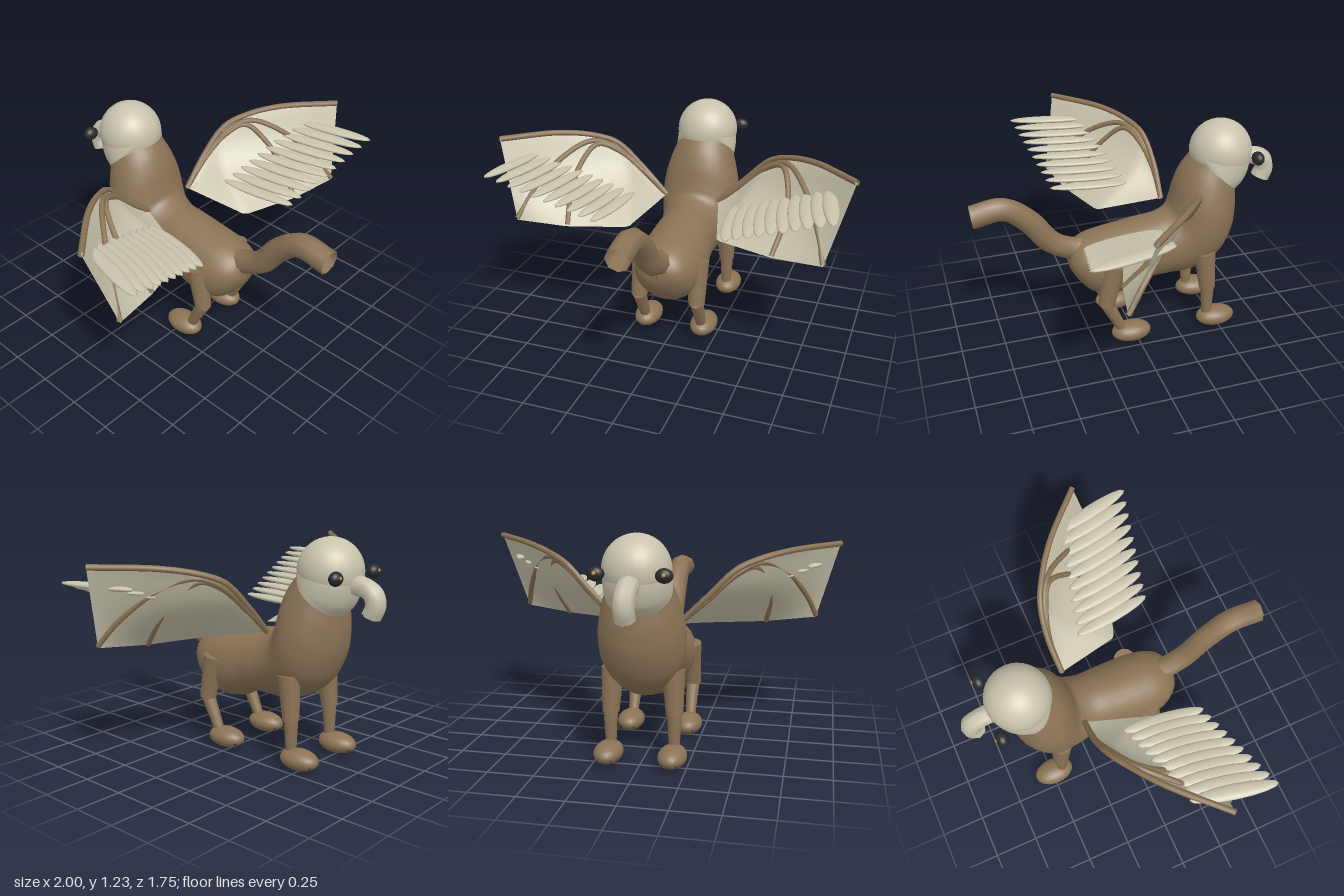
import * as THREE from 'three';

const mat = (color, side = THREE.FrontSide) => new THREE.MeshStandardMaterial({ color, side });
const BROWN = mat(0x8b7355), BROWN_OPEN = mat(0x8b7355, THREE.DoubleSide);
const CREAM = mat(0xc8c3ac), CREAM_OPEN = mat(0xc8c3ac, THREE.DoubleSide);
const DARK = mat(0x2a2a2a), GOLD = mat(0xc89020);
const V = (x, y, z) => new THREE.Vector3(x, y, z);

function add(parent, name, geometry, material) {
  const mesh = new THREE.Mesh(geometry, material);
  mesh.name = name;
  parent.add(mesh);
  return mesh;
}

function ellipsoid(parent, name, pos, radii, material, w = 24, h = 16) {
  const mesh = add(parent, name, new THREE.SphereGeometry(1, w, h), material);
  mesh.position.copy(pos);
  mesh.scale.set(...radii);
  return mesh;
}

// Tapered cylinder from point a to point b
function limb(parent, name, a, b, ra, rb, material, segments = 16) {
  const d = b.clone().sub(a);
  const mesh = add(parent, name, new THREE.CylinderGeometry(rb, ra, d.length(), segments), material);
  mesh.position.copy(a).add(b).multiplyScalar(0.5);
  mesh.quaternion.setFromUnitVectors(V(0, 1, 0), d.normalize());
}

function tube(parent, name, points, radius, material, segments = 32) {
  const curve = new THREE.CatmullRomCurve3(points);
  add(parent, name, new THREE.TubeGeometry(curve, segments, radius, 8), material);
  return curve;
}

// Elliptical loft; each row is [backZ, backY, bellyZ, bellyY, halfWidth]
function loft(rows, steps, sides = 32) {
  const back = new THREE.CatmullRomCurve3(rows.map(r => V(r[4], r[1], r[0])));
  const belly = new THREE.CatmullRomCurve3(rows.map(r => V(r[4], r[3], r[2])));
  const pos = [], idx = [];
  for (let i = 0; i <= steps; i++) {
    const a = back.getPoint(i / steps), b = belly.getPoint(i / steps);
    for (let j = 0; j < sides; j++) {
      const t = (j / sides) * Math.PI * 2, k = (1 + Math.cos(t)) / 2;
      pos.push(a.x * Math.sin(t), b.y + (a.y - b.y) * k, b.z + (a.z - b.z) * k);
      if (i === steps) continue;
      const p = i * sides + j, q = i * sides + (j + 1) % sides;
      idx.push(p, q, p + sides, q, q + sides, p + sides);
    }
  }
  const g = new THREE.BufferGeometry();
  g.setAttribute('position', new THREE.Float32BufferAttribute(pos, 3));
  g.setIndex(idx);
  g.computeVertexNormals();
  return g;
}

// Straight-sided path through the points
function polyline(points) {
  const path = new THREE.CurvePath();
  for (let i = 1; i < points.length; i++) path.add(new THREE.LineCurve3(points[i - 1], points[i]));
  return path;
}

function makeLeg(name, s, j) {
  const leg = new THREE.Group();
  leg.name = name;
  const x = 0.172 * s;
  limb(leg, 'upperLeg', V(x * 0.95, j.hip[0], j.hip[1]), V(x, j.knee[0], j.knee[1]), 0.062, 0.046, BROWN);
  limb(leg, 'lowerLeg', V(x, j.knee[0] + 0.01, j.shin), V(x, 0.08, j.ankle), 0.04, 0.028, BROWN);
  ellipsoid(leg, 'foot', V(x, 0.063, j.foot), [0.077, 0.057, 0.117], BROWN);
  for (const k of [-1, 0, 1])
    limb(leg, 'claw', V(x + k * 0.035, 0.05, j.foot - 0.085), V(x + k * 0.04, 0.042, j.foot - 0.12),
      0.006, 0.001, DARK, 8);
  return leg;
}

function makeWing(name, s) {
  const wing = new THREE.Group();
  wing.name = name;
  const pts = list => list.map(p => V(p[0] * s, p[1], p[2]));
  // Three bones fanning out from the shoulder
  const lead = tube(wing, 'leadingBone', pts([[0.16, 0.72, -0.25], [0.32, 0.88, -0.258],
    [0.46, 1.018, -0.23], [0.58, 1.07, -0.165], [0.74, 1.103, -0.05], [0.99, 1.115, 0.19]]), 0.016, BROWN_OPEN);
  tube(wing, 'middleBone', pts([[0.16, 0.72, -0.25], [0.32, 0.865, -0.25], [0.47, 1.0, -0.205],
    [0.58, 1.045, -0.135], [0.71, 0.97, 0.02], [0.82, 0.81, 0.185], [0.87, 0.685, 0.28]]), 0.015, BROWN_OPEN);
  tube(wing, 'innerBone', pts([[0.16, 0.72, -0.25], [0.31, 0.85, -0.25], [0.45, 0.98, -0.205],
    [0.55, 1.025, -0.145], [0.61, 0.93, -0.03], [0.62, 0.8, 0.09], [0.59, 0.655, 0.215]]), 0.015, BROWN_OPEN);

  // Skin stretched from the leading bone to the trailing edge, billowing forward
  const edge = polyline(pts([[0.16, 0.72, -0.25], [0.26, 0.65, 0.115], [0.59, 0.65, 0.22], [0.87, 0.675, 0.28]]));
  const skin = new THREE.PlaneGeometry(1, 1, 30, 12), p = skin.attributes.position;
  for (let i = 0; i < p.count; i++) {
    const t = p.getX(i) + 0.5, v = Math.min(1, Math.max(0, 0.5 - p.getY(i)));
    const q = lead.getPointAt(t).lerp(edge.getPoint(t), v);
    const billow = 0.085 * Math.sin(Math.PI * t ** 0.8) * Math.abs(Math.sin(Math.PI * v)) ** 1.3;
    p.setXYZ(i, q.x, q.y, q.z - billow);
  }
  skin.computeVertexNormals();
  add(wing, 'membrane', skin, CREAM_OPEN);

  // Row of long flight feathers
  const count = 10;
  for (let i = 0; i < count; i++) {
    const t = i / (count - 1);
    const f = ellipsoid(wing, 'feather', V(s * (0.34 + 0.54 * t), 0.775 + 0.225 * t, 0.137 + 0.118 * t),
      [0.041, 0.018, 0.23], CREAM, 16, 12);
    f.rotation.y = s * (0.14 + 0.08 * t);
  }
  return wing;
}

export function createModel() {
  const model = new THREE.Group();
  model.name = 'wingedBeast';

  // Body from rump to neck
  add(model, 'body', loft([
    [0.36, 0.51, 0.36, 0.5, 0.002], [0.35, 0.56, 0.345, 0.44, 0.085], [0.31, 0.61, 0.3, 0.365, 0.14],
    [0.23, 0.645, 0.23, 0.295, 0.178], [0.12, 0.665, 0.13, 0.265, 0.193], [0.02, 0.68, 0.02, 0.28, 0.19],
    [-0.08, 0.695, -0.06, 0.322, 0.18], [-0.18, 0.71, -0.2, 0.333, 0.176], [-0.24, 0.738, -0.38, 0.352, 0.203],
    [-0.26, 0.79, -0.53, 0.45, 0.23], [-0.285, 0.89, -0.607, 0.6, 0.228], [-0.325, 0.98, -0.625, 0.73, 0.203],
    [-0.38, 1.05, -0.62, 0.83, 0.175]], 72), BROWN);

  // Head with throat, beak and eyes
  ellipsoid(model, 'head', V(0, 1.058, -0.54), [0.176, 0.176, 0.176], CREAM, 32, 24);
  add(model, 'throat', loft([[-0.38, 1.05, -0.62, 0.83, 0.175], [-0.37, 1.07, -0.672, 0.885, 0.176],
    [-0.375, 1.09, -0.705, 0.98, 0.172], [-0.4, 1.12, -0.7, 1.07, 0.15], [-0.54, 1.1, -0.6, 1.1, 0.01]], 24), CREAM);
  tube(model, 'beak', [V(0, 1, -0.66), V(0, 0.995, -0.75), V(0, 0.963, -0.805),
    V(0, 0.91, -0.819), V(0, 0.855, -0.797)], 0.054, CREAM_OPEN, 24);
  for (const s of [1, -1]) {
    ellipsoid(model, 'eye', V(s * 0.168, 1.052, -0.693), [0.044, 0.037, 0.033], DARK);
    ellipsoid(model, 'iris', V(s * 0.17, 1.058, -0.72), [0.011, 0.011, 0.01], GOLD, 12, 8);
  }

  // Open-ended tail
  tube(model, 'tail', [V(0, 0.56, 0.22), V(0, 0.575, 0.335), V(0, 0.635, 0.45), V(0, 0.785, 0.57),
    V(0, 0.875, 0.7), V(0, 0.855, 0.872)], 0.066, BROWN_OPEN, 40);

  const front = { hip: [0.51, -0.405], knee: [0.27, -0.428], shin: -0.428, ankle: -0.432, foot: -0.487 };
  const rear = { hip: [0.52, 0.135], knee: [0.27, 0.185], shin: 0.185, ankle: 0.09, foot: 0.038 };
  for (const [side, s] of [['left', 1], ['right', -1]]) {
    model.add(makeLeg(side + 'FrontLeg', s, front));
    model.add(makeLeg(side + 'RearLeg', s, rear));
    model.add(makeWing(side + 'Wing', s));
  }
  return model;
}
